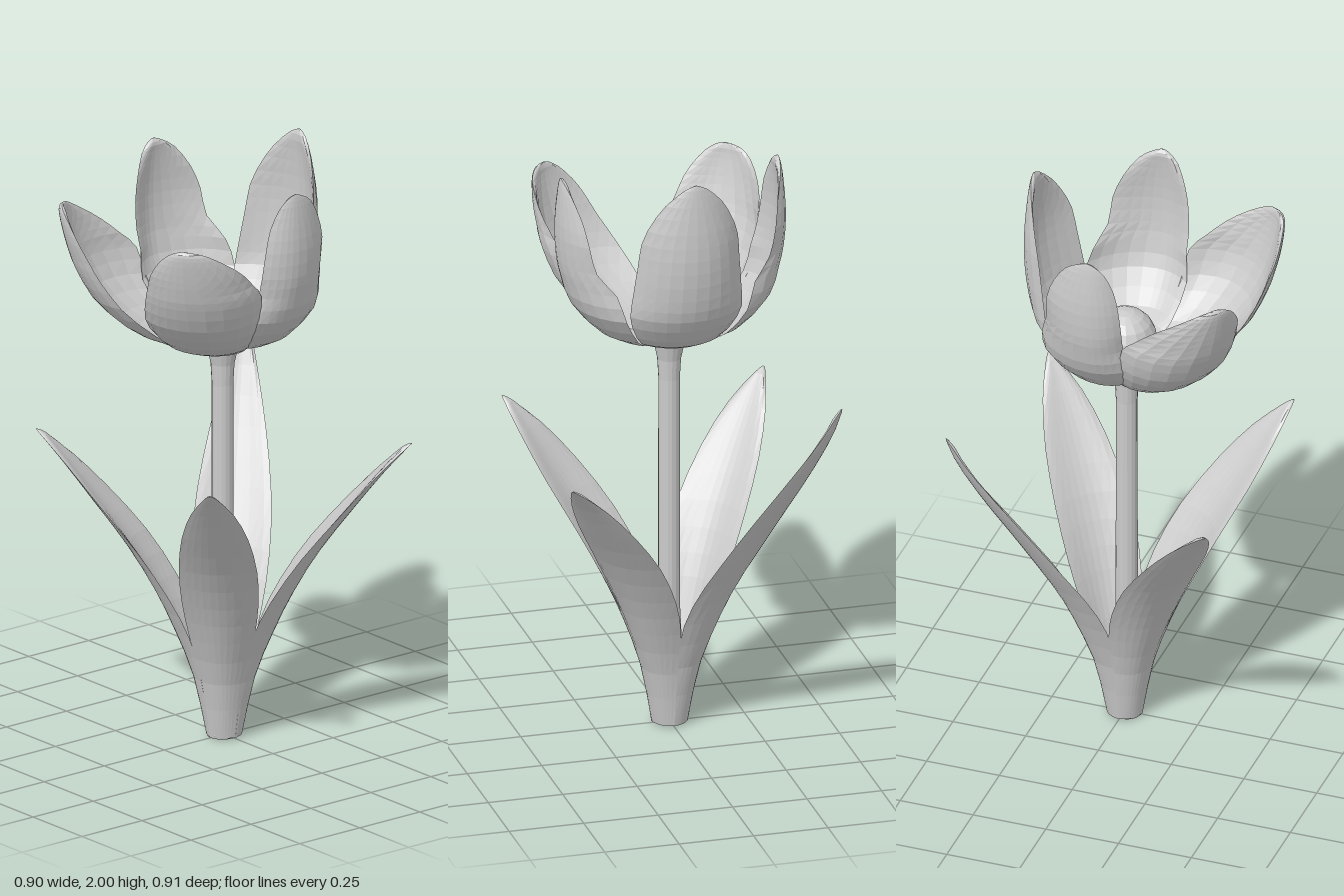
import * as THREE from 'three';

const material = new THREE.MeshStandardMaterial({ color: 0xcccccc, flatShading: true });
const COLS = 10;

// Smoothly interpolates a table of up to six-number rows into count + 1 rows.
function smoothRows(table, count) {
  const curve = (o) => new THREE.CatmullRomCurve3(
    table.map((r) => new THREE.Vector3(r[o], r[o + 1], r[o + 2] ?? 0)), false, 'catmullrom', 0.5);
  const first = curve(0), second = curve(3);
  return Array.from({ length: count + 1 }, (_, i) => [
    ...first.getPoint(i / count).toArray(), ...second.getPoint(i / count).toArray()]);
}

// Closed thin blade: each row is a loop over the outer face and back over the inner face.
// place(row, s, inset, t) returns a point; s runs from -1 to 1 across the blade.
function blade(name, rows, thickness, place) {
  const positions = [], index = [], loop = COLS * 2;
  rows.forEach((row, i) => {
    const t = i / (rows.length - 1);
    const depth = thickness * Math.min(1, 0.2 + (1 - t) * 6);
    for (let j = 0; j < loop; j++) {
      const outer = j <= COLS;
      const s = outer ? (2 * j) / COLS - 1 : 3 - (2 * j) / COLS;
      const inset = outer ? 0 : depth * (1 - s ** 4);
      positions.push(...place(row, s, inset, t));
    }
  });
  for (let i = 0; i < rows.length - 1; i++) {
    for (let j = 0; j < loop; j++) {
      const k = (j + 1) % loop;
      const a = i * loop + j, b = i * loop + k, c = b + loop, d = a + loop;
      index.push(a, b, c, a, c, d);
    }
  }
  // End caps, bridging the outer face to the inner face
  const top = (rows.length - 1) * loop;
  for (let j = 0; j < COLS; j++) {
    const a = j, b = j + 1, c = (loop - j - 1) % loop, d = (loop - j) % loop;
    index.push(a, c, b, a, d, c);
    index.push(top + a, top + b, top + c, top + a, top + c, top + d);
  }
  const geometry = new THREE.BufferGeometry();
  geometry.setAttribute('position', new THREE.Float32BufferAttribute(positions, 3));
  geometry.setIndex(index);
  geometry.computeVertexNormals();
  const mesh = new THREE.Mesh(geometry, material);
  mesh.name = name;
  return mesh;
}

// Petal rows: height, radius, front edge scoop, front angle, back angle, back edge scoop
function petal(name, azimuth, table) {
  const side = azimuth < 0 ? -1 : 1;
  const place = ([y, r, frontScoop, toFront, toBack, backScoop], s, inset, t) => {
    const back = s * side > 0;
    const angle = THREE.MathUtils.degToRad(azimuth + s * (back ? toBack : toFront));
    const wall = Math.min(1, t * 2);
    const radius = r - (back ? backScoop : frontScoop) * s * s - inset * wall;
    return [Math.sin(angle) * radius, y + inset * (1 - wall), Math.cos(angle) * radius];
  };
  return blade(name, smoothRows(table, 20), 0.02, place);
}

// Leaf rows: height, spine distance, edge curl, half width
function leaf(name, azimuth, table) {
  const a = THREE.MathUtils.degToRad(azimuth);
  return blade(name, smoothRows(table, 16), 0.014, ([y, r, curl, width], s, inset) => {
    const f = r - curl * s * s - inset, l = width * s;
    return [Math.sin(a) * f + Math.cos(a) * l, y + inset * 0.4, Math.cos(a) * f - Math.sin(a) * l];
  });
}

const frontPetal = [
  [1.345, 0.05, 0, 36, 37, 0], [1.355, 0.18, 0.01, 36, 37, 0.03], [1.40, 0.305, 0.05, 35, 37, 0.085],
  [1.50, 0.42, 0.05, 28, 37, 0.12], [1.60, 0.48, 0.045, 21, 36, 0.145],
  [1.66, 0.503, 0.04, 17.5, 29, 0.125], [1.72, 0.52, 0.03, 14, 22, 0.09],
  [1.78, 0.533, 0.02, 8.5, 13, 0.045], [1.81, 0.535, 0.01, 4, 7, 0.02],
  [1.82, 0.525, 0, 0.7, 0.7, 0],
];
const sidePetal = [
  [1.345, 0.05, 0, 27, 46, 0], [1.36, 0.14, 0.005, 27, 46, 0.01], [1.40, 0.24, 0.025, 25, 46, 0.03],
  [1.50, 0.33, 0.03, 22, 46, 0.04], [1.59, 0.362, 0.045, 19, 40, 0.06],
  [1.66, 0.377, 0.04, 18, 29.5, 0.045], [1.75, 0.383, 0.035, 16.5, 26.5, 0.035],
  [1.83, 0.38, 0.03, 14, 21, 0.03], [1.90, 0.373, 0.015, 9, 12.5, 0.015],
  [1.93, 0.368, 0.005, 4, 5, 0.005], [1.94, 0.365, 0, 0.7, 0.7, 0],
];
const backPetal = [
  [1.345, 0.05, 0, 46], [1.36, 0.13, 0.005, 46], [1.40, 0.21, 0.01, 45], [1.50, 0.287, 0.02, 44],
  [1.59, 0.317, 0.04, 41], [1.70, 0.333, 0.05, 37], [1.80, 0.335, 0.045, 33],
  [1.91, 0.328, 0.03, 21], [1.98, 0.32, 0.01, 8], [2.0, 0.315, 0, 0.8],
].map(([y, r, scoop, angle]) => [y, r, scoop, angle, angle, scoop]);

// The lower part of every leaf wraps around the stem
const leafBase = [
  [0.005, 0.058, 0.016, 0.044], [0.2, 0.10, 0.034, 0.068], [0.36, 0.162, 0.06, 0.104],
  [0.5, 0.228, 0.06, 0.124], [0.65, 0.317, 0.05, 0.127],
];
const shortLeaf = [...leafBase,
  [0.8, 0.428, 0.035, 0.108], [0.92, 0.522, 0.02, 0.07], [1.0, 0.593, 0.006, 0.022],
  [1.02, 0.612, 0, 0.003],
];
const tallLeaf = [...leafBase,
  [0.8, 0.41, 0.04, 0.11], [0.95, 0.505, 0.03, 0.08], [1.1, 0.59, 0.015, 0.043],
  [1.19, 0.628, 0.005, 0.018], [1.22, 0.638, 0, 0.003],
];

export function createModel() {
  const model = new THREE.Group();
  model.name = 'flower';

  // Stem, flaring under the bloom
  const profile = [[0, 0], [0.05, 0], [0.054, 0.012], [0.045, 0.2], [0.036, 0.4], [0.035, 1.2],
    [0.039, 1.27], [0.052, 1.33], [0.07, 1.356], [0, 1.37]];
  const stem = new THREE.Mesh(
    new THREE.LatheGeometry(profile.map(([x, y]) => new THREE.Vector2(x, y)), 16), material);
  stem.name = 'stem';
  stem.position.z = 0.007;

  // Round heart inside the bloom
  const heart = new THREE.Mesh(new THREE.SphereGeometry(0.105, 16, 10), material);
  heart.name = 'heart';
  heart.position.y = 1.435;
  model.add(stem, heart);

  // Bloom of five petals
  const bloom = new THREE.Group();
  bloom.name = 'bloom';
  bloom.add(petal('backPetal', 180, backPetal));
  for (const [label, side] of [['left', 1], ['right', -1]]) {
    bloom.add(petal(`${label}FrontPetal`, side * 36, frontPetal));
    bloom.add(petal(`${label}SidePetal`, side * 90, sidePetal));
  }
  model.add(bloom);

  // Four diagonal leaves, the right back one taller
  const leaves = new THREE.Group();
  leaves.name = 'leaves';
  leaves.add(
    leaf('leftFrontLeaf', 46.5, shortLeaf), leaf('rightFrontLeaf', -45.5, shortLeaf),
    leaf('leftBackLeaf', 133.5, shortLeaf), leaf('rightBackLeaf', -135, tallLeaf));
  model.add(leaves);
  return model;
}
